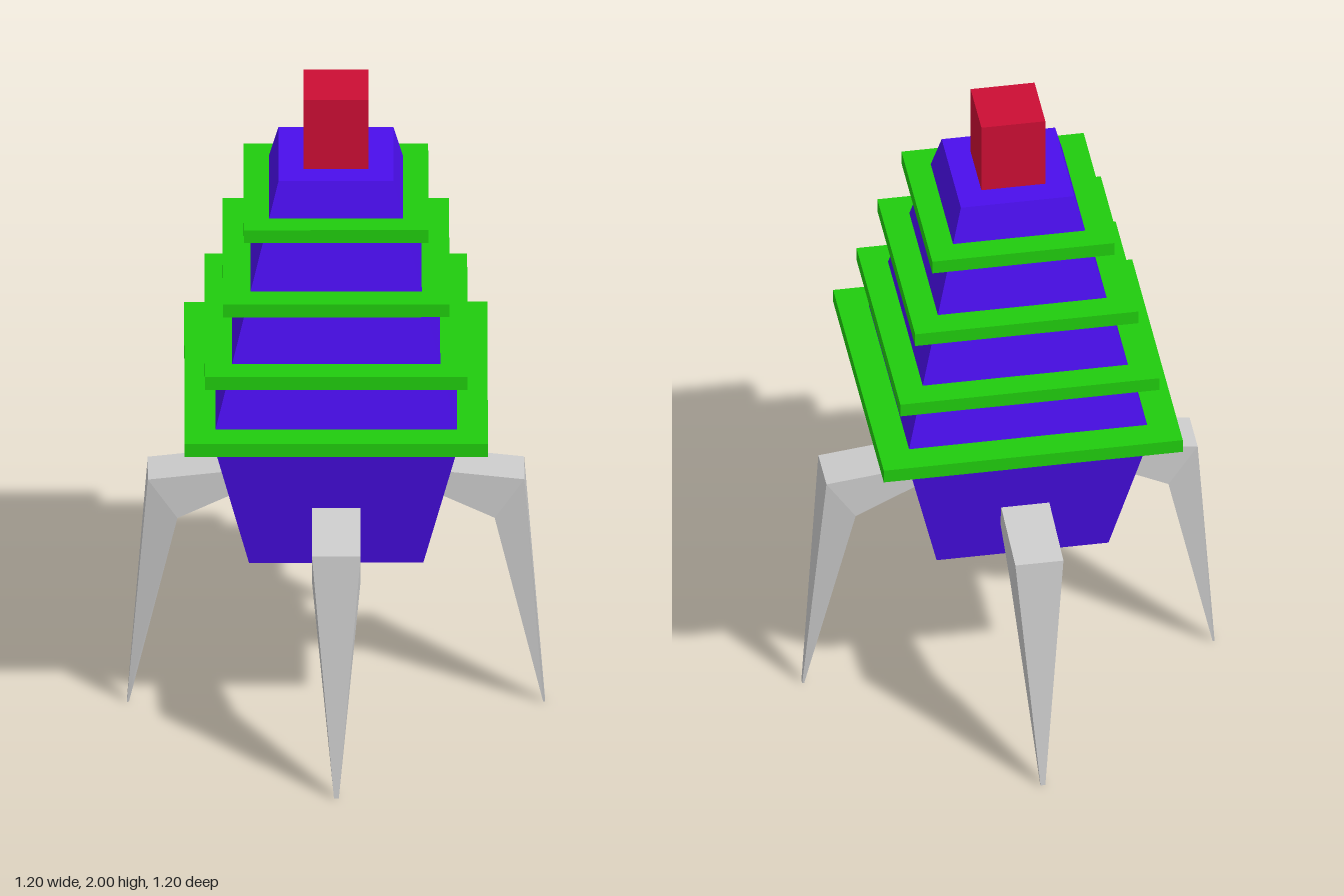
import * as THREE from 'three';

const paint = (color) => new THREE.MeshStandardMaterial({ color, flatShading: true });

// Bent leg reaching out along +x: rectangular sections at root, knee and tip
function legGeometry() {
  const sections = [
    { outer: [0.25, 0.788], inner: [0.25, 0.73], half: 0.07 },
    { outer: [0.54, 0.755], inner: [0.455, 0.63], half: 0.07 },
    { outer: [0.6, 0], inner: [0.594, 0], half: 0.007 },
  ];
  const positions = [];
  for (const { outer, inner, half } of sections) {
    positions.push(...outer, half, ...outer, -half, ...inner, -half, ...inner, half);
  }
  const index = [];
  for (let s = 0; s < sections.length - 1; s++) {
    for (let k = 0; k < 4; k++) {
      const a = s * 4 + k, b = s * 4 + (k + 1) % 4;
      index.push(a, a + 4, b, b, a + 4, b + 4);
    }
  }
  const e = (sections.length - 1) * 4;
  index.push(0, 1, 2, 0, 2, 3, e, e + 2, e + 1, e, e + 3, e + 2);
  const geometry = new THREE.BufferGeometry();
  geometry.setAttribute('position', new THREE.Float32BufferAttribute(positions, 3));
  geometry.setIndex(index);
  const flat = geometry.toNonIndexed();
  flat.computeVertexNormals();
  return flat;
}

export function createModel() {
  const model = new THREE.Group();
  model.name = 'rocket';

  const add = (name, geometry, material, y = 0) => {
    const mesh = new THREE.Mesh(geometry, material);
    mesh.name = name;
    mesh.position.y = y;
    model.add(mesh);
    return mesh;
  };

  // Square body, widest just under the lowest ring: [half width, height]
  const profile = [[0, 0.58], [0.25, 0.58], [0.355, 1.03], [0.165, 1.775], [0, 1.775]]
    .map(([half, y]) => new THREE.Vector2(half * Math.SQRT2, y));
  add('body', new THREE.LatheGeometry(profile, 4, Math.PI / 4), paint(0x4a0eec));

  // Square rings around the body: [half width, centre height]
  const green = paint(0x20cc0e);
  [[0.435, 1.043], [0.377, 1.23], [0.325, 1.438], [0.265, 1.647]].forEach(([half, y], i) => {
    add(`ring${i + 1}`, new THREE.BoxGeometry(half * 2, 0.042, half * 2), green, y);
  });

  // Block on top
  add('topBlock', new THREE.BoxGeometry(0.186, 0.235, 0.186), paint(0xcc0e34), 1.8825);

  // Four legs
  const leg = legGeometry(), grey = paint(0xcccccc);
  ['leftLeg', 'backLeg', 'rightLeg', 'frontLeg'].forEach((name, i) => {
    add(name, leg, grey).rotation.y = i * Math.PI / 2;
  });

  return model;
}
